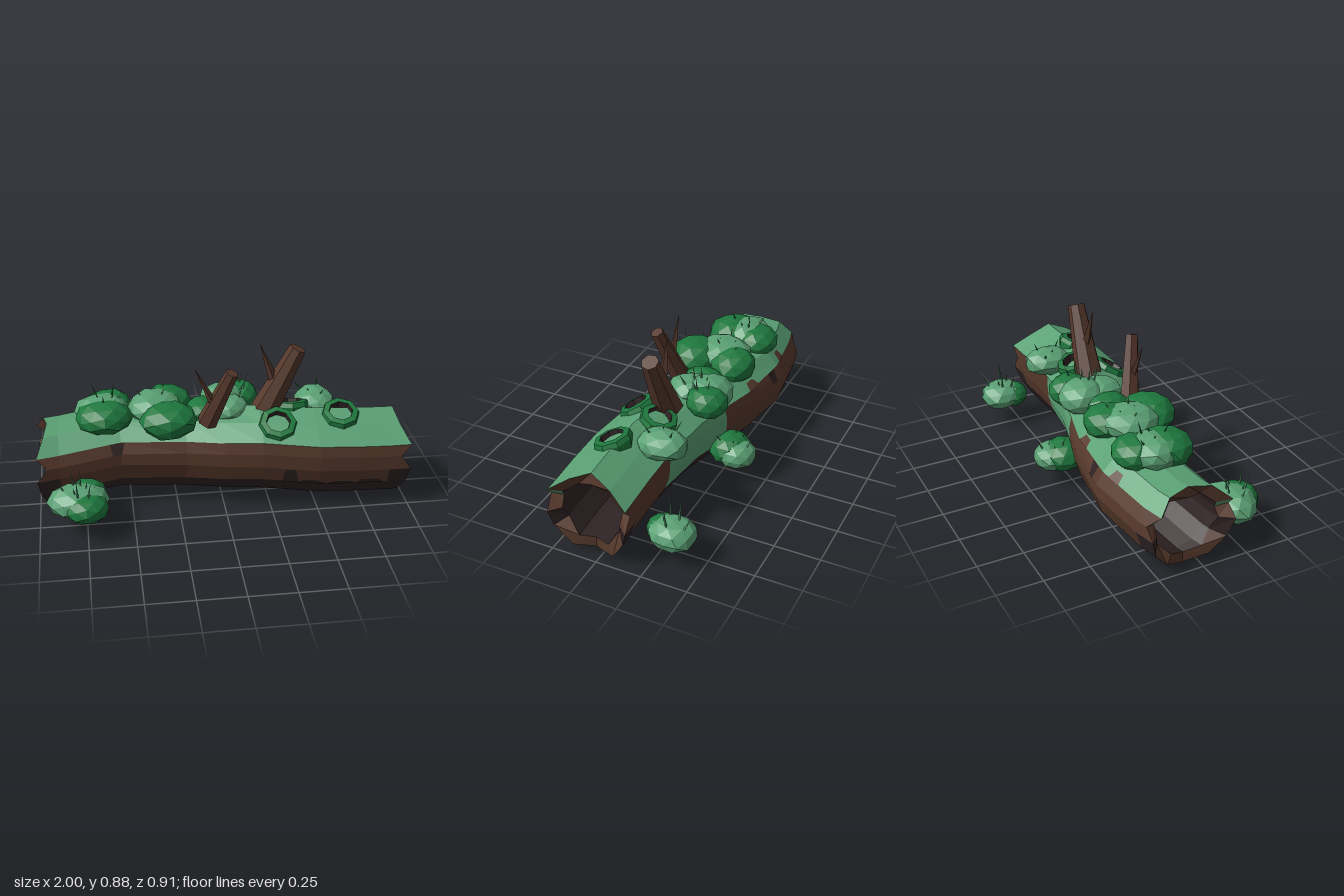
import * as THREE from 'three';

const mat = (name, color) => {
  const m = new THREE.MeshStandardMaterial({ color, flatShading: true, side: THREE.DoubleSide });
  m.name = name;
  return m;
};

export function createModel() {
  const root = new THREE.Group();
  root.name = 'mossyHollowLog';
  const moss = mat('moss green', 0x5aa074);
  const leaf = mat('deep green', 0x1e783e);
  const bark = mat('bark brown', 0x57392c);
  const dark = mat('dark wood', 0x2f2324);

  const add = (name, geo, material, parent = root) => {
    const m = new THREE.Mesh(geo, material);
    m.name = name;
    parent.add(m);
    return m;
  };
  const fromPoints = (pts) => {
    const g = new THREE.BufferGeometry().setFromPoints(pts);
    g.computeVertexNormals();
    return g;
  };

  // Log sections (z, y): flat-topped at the right end (-x), ridged at the left end (+x)
  const flatSection = [[0, 0.225], [0.12, 0.205], [0.205, 0.125], [0.23, 0.065], [0.23, 0], [0.195, -0.1], [0.11, -0.19],
    [0, -0.232], [-0.12, -0.185], [-0.2, -0.1], [-0.232, 0], [-0.225, 0.065], [-0.19, 0.13], [-0.115, 0.205]];
  const ridgeSection = [[0, 0.237], [0.115, 0.18], [0.22, 0.11], [0.232, 0.05], [0.23, -0.03], [0.205, -0.115], [0.11, -0.222],
    [0, -0.23], [-0.115, -0.222], [-0.18, -0.115], [-0.205, -0.03], [-0.21, 0.05], [-0.21, 0.11], [-0.11, 0.18]];
  const spine = [[-1, 0.237, -0.055], [-0.88, 0.237, -0.085], [-0.55, 0.265, -0.14], [-0.2, 0.275, -0.1],
    [0, 0.285, -0.045], [0.2, 0.3, 0], [0.55, 0.28, 0.05], [0.88, 0.264, 0.04], [1, 0.262, 0.035]];
  const N = 14;

  // Point on the log at length x and position u (0 to 14) round the section
  const logPoint = (x, u, scale = 1) => {
    let i = 0;
    while (i < spine.length - 2 && x > spine[i + 1][0]) i++;
    const a = spine[i], b = spine[i + 1], t = (x - a[0]) / (b[0] - a[0]);
    const k = Math.floor(u) % N, n = (k + 1) % N, f = u - Math.floor(u);
    const w = THREE.MathUtils.clamp((x + 0.55) / 0.9, 0, 1);
    const offset = (c) => scale * THREE.MathUtils.lerp(
      THREE.MathUtils.lerp(flatSection[k][c], flatSection[n][c], f),
      THREE.MathUtils.lerp(ridgeSection[k][c], ridgeSection[n][c], f), w);
    return new THREE.Vector3(x, a[1] + (b[1] - a[1]) * t + offset(1), a[2] + (b[2] - a[2]) * t + offset(0));
  };

  // Broken ends: each ring position stops at its own length
  const reach = [0.94, 0.96, 1, 0.945, 1, 0.985, 0.965, 0.92, 0.965, 0.98, 1, 0.945, 1, 0.96];
  const stations = [-1, -0.88, -0.72, -0.55, -0.2, 0, 0.2, 0.5, 0.72, 0.88, 1];
  const rings = (scale, inner) => stations.map((x) => reach.map((r, k) =>
    logPoint(Math.abs(x) < 1 ? x : Math.sign(x) * (inner ? 0.95 - (k % 2) * 0.03 : r), k, scale)));
  const outer = rings(1, false), inside = rings(0.74, true);
  const parts = { moss: [], bark: [], dark: [] };
  const quad = (list, a, b, c, d) => list.push(a, b, c, a, c, d);
  for (let s = 0; s < stations.length - 1; s++) {
    const mid = (stations[s] + stations[s + 1]) / 2;
    for (let k = 0; k < N; k++) {
      const n = (k + 1) % N;
      const draped = k > 8 && mid > 0 && mid < 0.5;
      const side = Math.abs(mid) > 0.9 ? k < 4 || k > 9 : k < 5 || k > 8;
      const kind = k < 2 || k > 11 || draped ? 'moss' : side ? 'bark' : 'dark';
      quad(parts[kind], outer[s][k], outer[s][n], outer[s + 1][n], outer[s + 1][k]);
      quad(parts.dark, inside[s][k], inside[s + 1][k], inside[s + 1][n], inside[s][n]);
    }
  }
  const last = stations.length - 1;
  for (let k = 0; k < N; k++) {
    const n = (k + 1) % N;
    const rim = k === 2 || k === 11 ? parts.moss : k === 4 || k === 9 ? parts.dark : parts.bark;
    quad(rim, outer[last][k], outer[last][n], inside[last][n], inside[last][k]);
    quad(rim, outer[0][k], inside[0][k], inside[0][n], outer[0][n]);
  }
  add('mossCover', fromPoints(parts.moss), moss);
  add('barkSides', fromPoints(parts.bark), bark);
  add('darkUndersideAndHollow', fromPoints(parts.dark), dark);

  // Thin stains lying on the log surface: x range, u range
  const stain = (x0, x1, u0, u1, m) => {
    const pts = [], c = 0.2 * (x1 - x0), at = (x, u) => logPoint(x, u, 1.015);
    const steps = 4;
    for (let i = 0; i < steps; i++) {
      const f = i / steps, g = (i + 1) / steps, u = u0 + (u1 - u0) * f, v = u0 + (u1 - u0) * g;
      quad(pts, at(x0 + c * f, u), at(x0 + c * g, v), at(x1 - c * g, v), at(x1 - c * f, u));
    }
    add('barkStain', fromPoints(pts), m);
  };
  stain(0.3, 0.39, 5, 4, dark);
  stain(0.39, 0.53, 5, 4.75, dark);
  stain(0.55, 0.7, 5, 4.8, dark);
  stain(0.7, 0.86, 5, 4.7, dark);
  stain(-0.61, -0.53, 2, 3, dark);
  stain(-0.5, -0.43, 12, 11, dark);
  stain(-0.68, -0.6, 12, 12.5, bark);
  stain(-0.32, -0.22, 12, 12.4, bark);

  // Faceted bushes: x, y, z, radii, colour
  const bush = (x, y, z, rx, ry, rz, m) => {
    const g = new THREE.IcosahedronGeometry(1, 1);
    const p = g.attributes.position, v = new THREE.Vector3();
    for (let i = 0; i < p.count; i++) {
      v.fromBufferAttribute(p, i);
      v.multiplyScalar(1.02 + 0.05 * Math.sin(v.x * 7 + x * 9) * Math.cos(v.y * 5 + v.z * 6 + z * 8));
      p.setXYZ(i, v.x * rx, v.y * ry, v.z * rz);
    }
    g.computeVertexNormals();
    add('bush', g, m).position.set(x, y, z);
  };
  [
    [-0.63, 0.505, -0.02, 0.15, 0.085, 0.135, leaf],
    [-0.64, 0.51, -0.1, 0.145, 0.08, 0.13, moss],
    [-0.6, 0.5, -0.18, 0.125, 0.08, 0.12, leaf],
    [-0.29, 0.505, 0.06, 0.155, 0.095, 0.14, leaf],
    [-0.35, 0.525, -0.08, 0.145, 0.08, 0.16, moss],
    [-0.28, 0.505, -0.17, 0.135, 0.09, 0.125, leaf],
    [-0.1, 0.48, -0.08, 0.09, 0.07, 0.12, leaf],
    [0.04, 0.505, -0.06, 0.115, 0.065, 0.12, moss],
    [0.125, 0.5, -0.2, 0.105, 0.085, 0.115, leaf],
    [0.03, 0.5, -0.17, 0.13, 0.09, 0.13, moss],
    [0.54, 0.475, -0.145, 0.11, 0.075, 0.135, moss],
    [0.02, 0.175, -0.29, 0.12, 0.085, 0.115, leaf],
    [0.045, 0.165, -0.345, 0.105, 0.075, 0.105, moss],
    [0.81, 0.17, -0.335, 0.115, 0.08, 0.125, moss],
    [0.79, 0.165, -0.27, 0.09, 0.07, 0.08, leaf],
    [-0.79, 0.175, 0.28, 0.16, 0.085, 0.125, moss],
    [-0.75, 0.165, 0.345, 0.115, 0.075, 0.105, leaf],
    [-0.74, 0.17, 0.2, 0.1, 0.075, 0.1, leaf],
  ].forEach((b) => bush(...b));

  // Tapered limb between two points
  const limb = (name, a, b, r0, r1, sides, m) => {
    const p = new THREE.Vector3(...a), q = new THREE.Vector3(...b), d = q.clone().sub(p);
    const mesh = add(name, new THREE.CylinderGeometry(r1, r0, d.length(), sides), m);
    mesh.position.copy(p).lerp(q, 0.5);
    mesh.quaternion.setFromUnitVectors(new THREE.Vector3(0, 1, 0), d.normalize());
  };
  limb('tallStump', [0.23, 0.47, -0.025], [0.415, 0.85, -0.015], 0.08, 0.047, 7, bark);
  limb('tallStumpTwig', [0.3, 0.64, -0.02], [0.21, 0.885, -0.013], 0.032, 0.001, 4, bark);
  limb('shortStump', [-0.085, 0.48, 0.06], [0.04, 0.795, 0.137], 0.055, 0.035, 6, bark);
  limb('shortStumpTwig', [-0.05, 0.6, 0.095], [-0.15, 0.81, 0.1], 0.024, 0.001, 4, bark);

  // Open knot rings: green rim with a dark inner wall
  const knot = (x, y, z, tiltX, tiltZ) => {
    const g = new THREE.Group();
    g.name = 'knotRing';
    const profile = (pts) => new THREE.LatheGeometry(pts.map((p) => new THREE.Vector2(...p)), 8);
    add('knotRim', profile([[0.09, -0.05], [0.105, 0], [0.098, 0.025], [0.066, 0.03]]), leaf, g);
    add('knotInnerWall', profile([[0.066, 0.03], [0.06, -0.03]]), dark, g);
    g.position.set(x, y, z);
    g.rotation.set(tiltX, 0, tiltZ);
    root.add(g);
  };
  knot(0.29, 0.475, 0.125, 0.55, 0);
  knot(0.64, 0.49, 0.08, 0.38, 0);
  knot(0.385, 0.5, -0.045, -0.3, 0);

  // Grass tufts: thin blades fanning from a centre
  const tuft = (x, y, z, height, count, m) => {
    for (let i = 0; i < count; i++) {
      const a = i * 2.4 + x * 5, r = 0.025 + 0.012 * (i % 4), h = height * (0.45 + 0.55 * ((i * 3) % 4) / 3);
      const bx = x + Math.cos(a) * r * 1.3, bz = z + Math.sin(a) * r * 1.3;
      limb('grassBlade', [bx, y, bz], [bx + Math.cos(a) * r * 0.6, y + h, bz + Math.sin(a) * r * 0.6],
        0.007, 0.0005, 3, m);
    }
  };
  tuft(-0.62, 0.57, -0.1, 0.075, 5, leaf);
  tuft(-0.36, 0.58, -0.1, 0.055, 5, moss);
  tuft(0.09, 0.56, -0.14, 0.1, 7, moss);
  tuft(0.54, 0.53, -0.15, 0.055, 4, leaf);
  tuft(0.03, 0.22, -0.34, 0.08, 5, moss);
  tuft(0.81, 0.23, -0.33, 0.125, 6, moss);
  tuft(-0.78, 0.23, 0.31, 0.125, 7, moss);

  return root;
}
